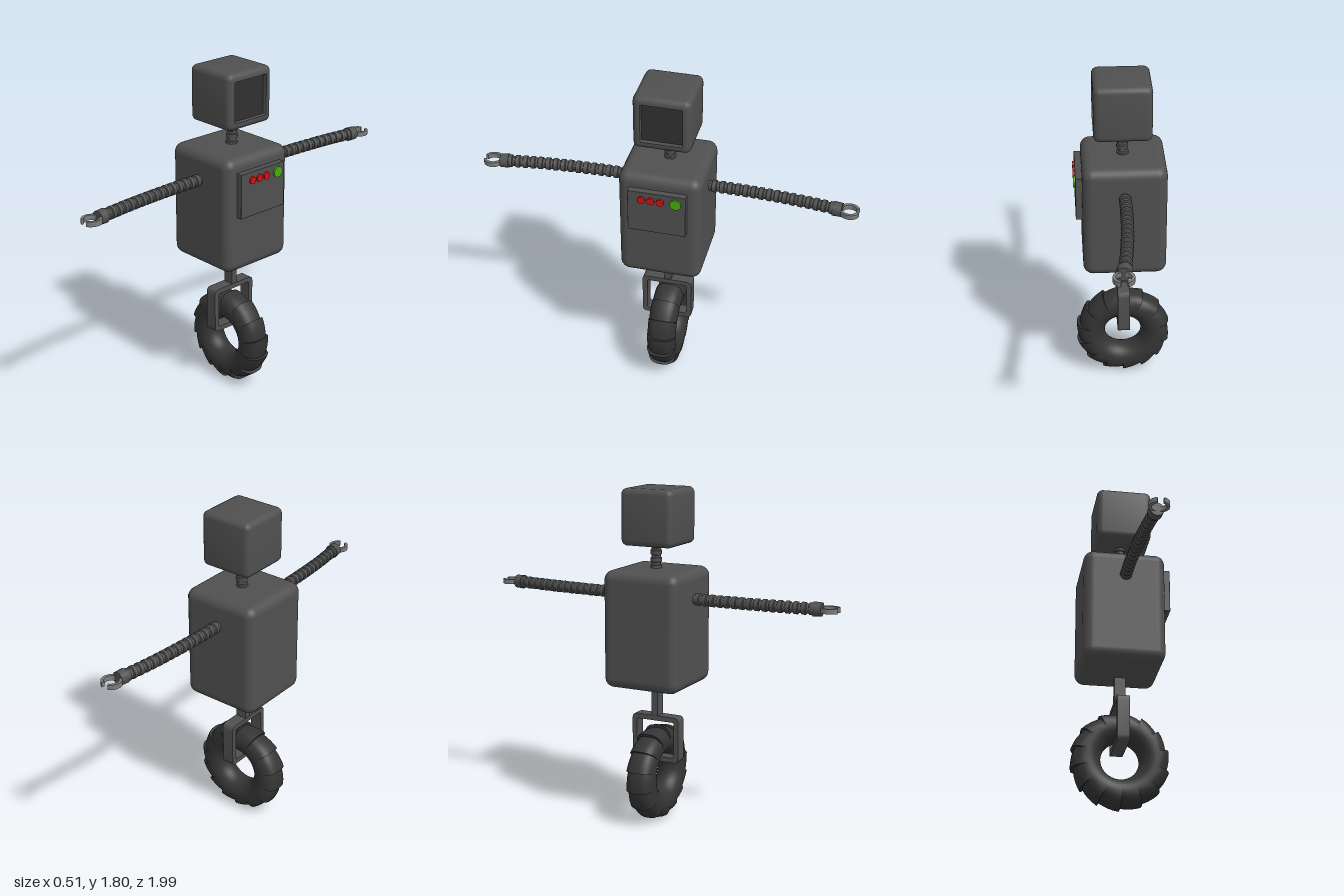
import * as THREE from 'three';
import { toCreasedNormals } from 'three/addons/utils/BufferGeometryUtils.js';
import { RoundedBoxGeometry } from 'three/addons/geometries/RoundedBoxGeometry.js';

const material = (name, color) => Object.assign(new THREE.MeshStandardMaterial({ color }), { name });

function add(parent, name, geometry, mat, x = 0, y = 0, z = 0) {
  const mesh = new THREE.Mesh(geometry, mat);
  mesh.name = name;
  mesh.position.set(x, y, z);
  parent.add(mesh);
  return mesh;
}

// Joins closed rings of [x, y, z] points into one skin
function loft(rings, crease) {
  const n = rings[0].length, index = [];
  for (let i = 0; i < rings.length - 1; i++) {
    for (let j = 0; j < n; j++) {
      const a = i * n + j, b = i * n + (j + 1) % n;
      index.push(a, b, b + n, a, b + n, a + n);
    }
  }
  const g = new THREE.BufferGeometry();
  g.setAttribute('position', new THREE.Float32BufferAttribute(rings.flat(2), 3));
  g.setIndex(index);
  return toCreasedNormals(g, crease);
}

// Rounded square ring facing x
function squareRing(x, half, r) {
  const pts = [];
  for (let q = 0; q < 4; q++) {
    const my = (q === 0 || q === 3 ? 1 : -1) * (half - r), mz = (q < 2 ? 1 : -1) * (half - r);
    for (let k = 0; k <= 5; k++) {
      const t = (q + k / 5) * Math.PI / 2;
      pts.push([x, my + r * Math.cos(t), mz + r * Math.sin(t)]);
    }
  }
  return pts;
}

// Rounded cube with a recess for the screen on its +x side
function headGeometry(half, b) {
  const rings = [squareRing(-half, 0, 0)];
  for (const side of [-1, 1]) {
    for (let k = 0; k <= 5; k++) {
      const a = side * (side < 0 ? 5 - k : k) / 5 * Math.PI / 2;
      const c = b * Math.cos(a);
      rings.push(squareRing(side * (half - b) + b * Math.sin(a), half - b + c, c));
    }
  }
  rings.push(squareRing(half, 0.108, 0.004), squareRing(half - 0.025, 0.105, 0.004), squareRing(half - 0.025, 0, 0));
  return loft(rings, 0.6);
}

// Tyre whose outer half is cut into sloping tread bands
function tyreGeometry(bands) {
  const rings = [], sides = 32, steps = 4;
  for (let i = 0; i <= bands; i++) {
    for (let k = 0; k <= steps && (i < bands || k === 0); k++) {
      const u = (i + k / steps) / bands * Math.PI * 2 - Math.PI / 2;
      const ring = [];
      for (let j = 0; j < sides; j++) {
        const v = j / sides * Math.PI * 2, c = Math.cos(v), s = Math.sin(v);
        const w = THREE.MathUtils.smoothstep(c, -0.1, 0.6);
        const power = c > 0 ? 0.75 : 1;
        const cut = 0.016 * w * (1 - k / steps);
        const r = 0.18 + Math.sign(c) * 0.08 * Math.pow(Math.abs(c), power) - cut;
        const z = -Math.sign(s) * 0.078 * Math.pow(Math.abs(s), power) * (1 - cut * 4);
        ring.push([r * Math.cos(u), r * Math.sin(u), z]);
      }
      rings.push(ring);
    }
  }
  return loft(rings, 0.6);
}

// Ribbed hose: a core tube with rings along a curve
function hose(parent, name, curve, count, radius, mat) {
  const group = new THREE.Group();
  group.name = name;
  add(group, name + 'Core', new THREE.TubeGeometry(curve, 32, radius * 0.8, 16), mat);
  const length = curve.getLength() / count;
  const rib = toCreasedNormals(new THREE.LatheGeometry([
    [radius * 0.75, -0.36], [radius * 0.98, -0.26], [radius, 0.26], [radius * 0.75, 0.36],
  ].map(([r, y]) => new THREE.Vector2(r, y * length)), 16), 0.5);
  const up = new THREE.Vector3(0, 1, 0);
  for (let i = 0; i < count; i++) {
    const t = (i + 0.5) / count, p = curve.getPointAt(t);
    add(group, name + 'Rib', rib, mat, p.x, p.y, p.z).quaternion.setFromUnitVectors(up, curve.getTangentAt(t));
  }
  parent.add(group);
}

function roundedRect(path, w, y0, y1, r) {
  path.moveTo(-w + r, y0);
  path.lineTo(w - r, y0);
  path.quadraticCurveTo(w, y0, w, y0 + r);
  path.lineTo(w, y1 - r);
  path.quadraticCurveTo(w, y1, w - r, y1);
  path.lineTo(-w + r, y1);
  path.quadraticCurveTo(-w, y1, -w, y1 - r);
  path.lineTo(-w, y0 + r);
  path.quadraticCurveTo(-w, y0, -w + r, y0);
  return path;
}

export function createModel() {
  const model = new THREE.Group();
  model.name = 'wheeledRobot';
  const metal = material('darkGreyMetal', 0x505050);
  const rubber = material('blackRubber', 0x343434);
  const glass = material('screenGlass', 0x303030);
  const steel = material('lightSteel', 0x7c7c7c);
  const red = material('redButton', 0xd41010);
  const green = material('greenButton', 0x48aa0c);
  const V = (x, y, z) => new THREE.Vector3(x, y, z);

  // Head, screen and neck
  add(model, 'head', headGeometry(0.149, 0.032), metal, 0.005, 1.651, 0.003);
  add(model, 'screen', new THREE.BoxGeometry(0.006, 0.21, 0.21), glass, 0.131, 1.651, 0.003);
  hose(model, 'neck', new THREE.CatmullRomCurve3([V(0, 1.36, -0.005), V(0.003, 1.44, -0.008), V(0, 1.52, -0.005)]), 4, 0.031, metal);

  // Body with control panel and buttons
  add(model, 'body', new RoundedBoxGeometry(0.436, 0.626, 0.434, 5, 0.052), metal, -0.002, 1.065, 0.002);
  add(model, 'controlPanel', new RoundedBoxGeometry(0.05, 0.242, 0.304, 2, 0.004), metal, 0.225, 1.186, 0.005);
  const button = (name, r, z, mat) => {
    add(model, name, new THREE.CylinderGeometry(r, r, 0.02, 20), mat, 0.25, 1.263, z).rotation.z = -Math.PI / 2;
  };
  for (const z of [0.083, 0.034, -0.015]) button('redButton', 0.02, z, red);
  button('greenButton', 0.029, -0.095, green);

  // Arms with cuffs and two-fingered grippers
  const armCurve = new THREE.CatmullRomCurve3([
    V(0, 0, 0.18), V(0, 0, 0.36), V(0.007, 0, 0.54), V(0.02, 0, 0.71), V(0.04, 0, 0.875),
  ]);
  const finger = new THREE.Shape();
  finger.absarc(0, 0, 0.052, -1.25, 1.2, false);
  finger.absarc(0, 0, 0.037, 1.2, -1.25, true);
  const fingerGeometry = new THREE.ExtrudeGeometry(finger, { depth: 0.026, bevelEnabled: false, curveSegments: 10 });
  fingerGeometry.translate(0, 0, -0.013).rotateX(Math.PI / 2);
  for (const side of ['left', 'right']) {
    const arm = new THREE.Group();
    arm.name = side + 'Arm';
    arm.position.y = 1.228;
    if (side === 'right') arm.rotation.x = Math.PI;
    hose(arm, 'armHose', armCurve, 17, 0.033, metal);
    const cuff = add(arm, 'cuff', new THREE.CylinderGeometry(0.036, 0.038, 0.045, 16), metal, 0.042, 0, 0.884);
    cuff.rotation.set(Math.PI / 2, 0, -0.1);
    for (const turn of [0, Math.PI]) {
      add(arm, 'gripperFinger', fingerGeometry, steel, 0.048, 0, 0.945).rotation.z = turn;
    }
    model.add(arm);
  }

  // Stem and fork frame passing through the wheel
  add(model, 'stem', new THREE.BoxGeometry(0.06, 0.16, 0.036), metal, 0, 0.643, 0);
  const frame = roundedRect(new THREE.Shape(), 0.138, 0.328, 0.58, 0.028);
  frame.holes.push(roundedRect(new THREE.Path(), 0.111, 0.355, 0.553, 0.012));
  const fork = new THREE.ExtrudeGeometry(frame, { depth: 0.066, bevelEnabled: false, curveSegments: 5 });
  fork.translate(0, 0, -0.033).rotateY(Math.PI / 2);
  add(model, 'forkFrame', toCreasedNormals(fork, 0.6), metal, 0, 0, 0.005);

  // Wheel
  add(model, 'tyre', tyreGeometry(14), rubber, 0, 0.26, 0);
  return model;
}
